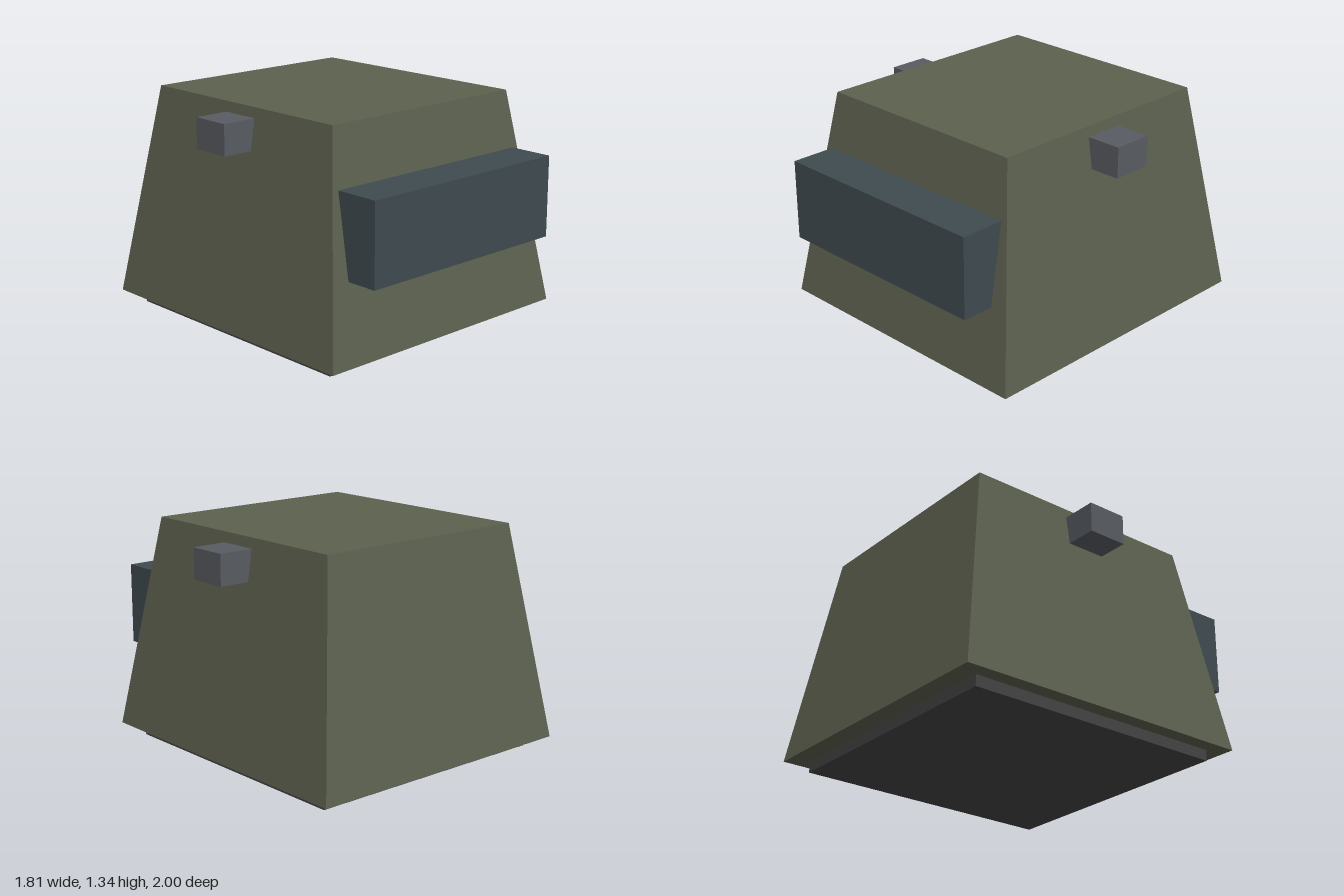
import * as THREE from 'three';

const mat = (color) => new THREE.MeshStandardMaterial({ color, flatShading: true });

// Box given by its lower and upper bounds on each axis
function block(name, [x0, x1], [y0, y1], [z0, z1], material) {
  const geometry = new THREE.BoxGeometry(x1 - x0, y1 - y0, z1 - z0);
  geometry.translate((x0 + x1) / 2, (y0 + y1) / 2, (z0 + z1) / 2);
  const mesh = new THREE.Mesh(geometry, material);
  mesh.name = name;
  return mesh;
}

export function createModel() {
  const group = new THREE.Group();
  group.name = 'armouredHead';
  const armour = mat(0x5c604e);
  const visorGlass = mat(0x3f4b50);
  const metal = mat(0x585c62);
  const dark = mat(0x444444);

  // Tapered shell: a box whose top corners are drawn inwards
  const shell = block('shell', [-0.875, 0.875], [0.065, 1.335], [-1, 0.88], armour);
  const p = shell.geometry.attributes.position;
  for (let i = 0; i < p.count; i++) {
    if (p.getY(i) > 1) {
      p.setX(i, Math.sign(p.getX(i)) * 0.685);
      p.setZ(i, p.getZ(i) > 0 ? 0.675 : -0.795);
    }
  }
  shell.geometry.computeVertexNormals();
  group.add(shell);

  // Neck plate under the shell
  group.add(block('neckPlate', [-0.785, 0.785], [0, 0.08], [-0.88, 0.76], dark));

  // Visor standing out of the front
  group.add(block('visor', [-0.695, 0.695], [0.52, 1], [0.65, 1], visorGlass));

  // Side blocks, set into the sloping walls
  for (const [name, s] of [['leftSideBlock', 1], ['rightSideBlock', -1]]) {
    const xs = [0.66 * s, 0.905 * s].sort((a, b) => a - b);
    group.add(block(name, xs, [1.095, 1.275], [-0.18, 0.06], metal));
  }
  return group;
}
